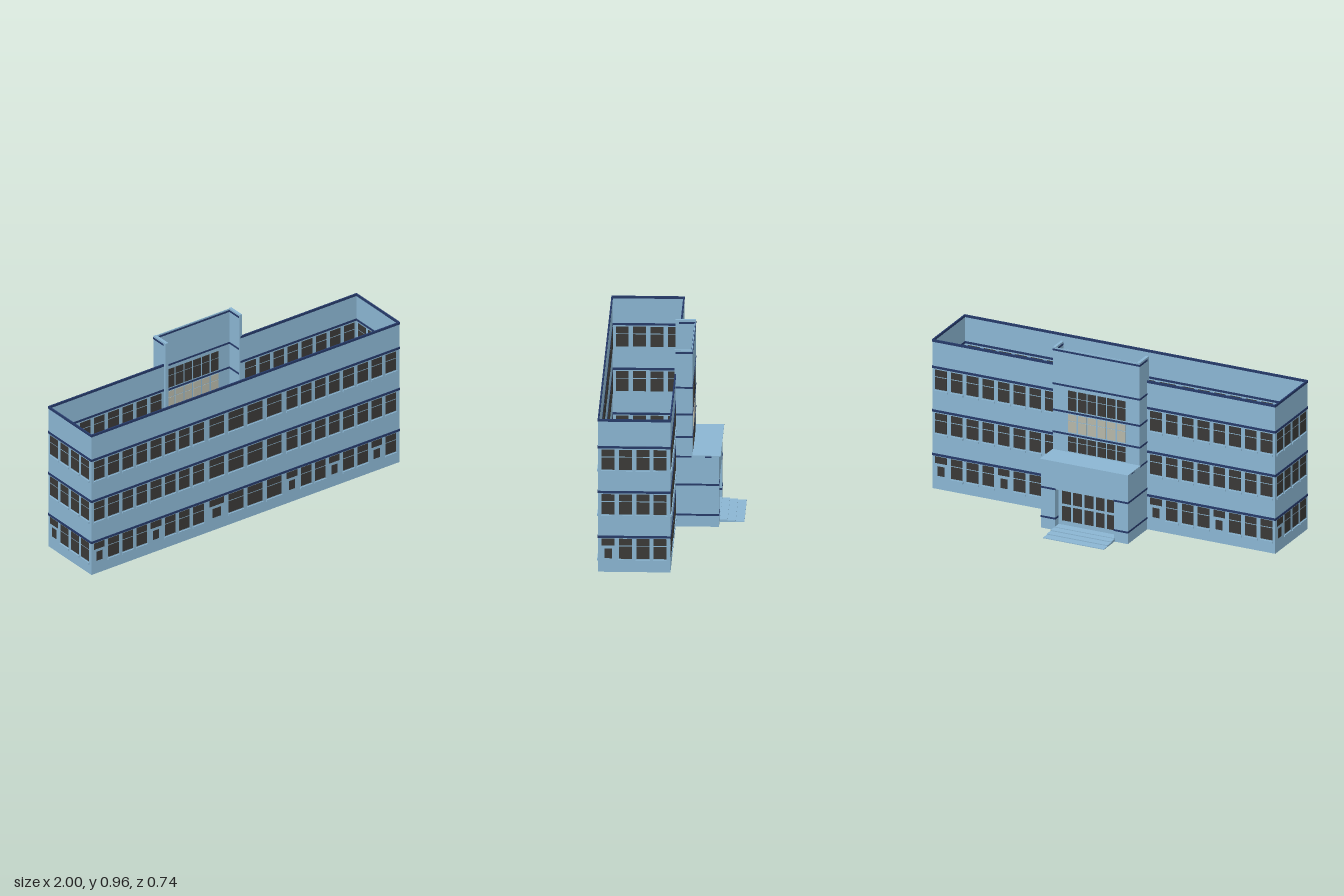
import * as THREE from 'three';

const wallMat = new THREE.MeshStandardMaterial({ color: 0x8ab5d2 });
const bandMat = new THREE.MeshStandardMaterial({ color: 0x253968 });
const glassMat = new THREE.MeshStandardMaterial({ color: 0x393836 });
const paleMat = new THREE.MeshStandardMaterial({ color: 0xb5b6a8 });

// Box given by its lower and upper limits on each axis
function block(parent, name, mat, x0, x1, y0, y1, z0, z1) {
  const mesh = new THREE.Mesh(new THREE.BoxGeometry(x1 - x0, y1 - y0, z1 - z0), mat);
  mesh.position.set((x0 + x1) / 2, (y0 + y1) / 2, (z0 + z1) / 2);
  mesh.name = name;
  parent.add(mesh);
  return mesh;
}

// Facades are drawn in their own x/y plane with the outside at +z
function facade(parent, name, x, z, turn) {
  const group = new THREE.Group();
  group.name = name;
  group.position.set(x, 0, z);
  group.rotation.y = turn;
  parent.add(group);
  return group;
}

const T = 0.004; // wall thickness
const floors = [0.073, 0.316, 0.56]; // window foot of each storey
const bandHeights = [0.192, 0.437, 0.682, 0.829];

// Window with a transom pane, a tall or a small lower pane, and a sill
function windowUnit(parent, x, y, w, small) {
  const z0 = -T - 0.002, z1 = 0.002;
  block(parent, 'transomPane', glassMat, x - w / 2, x + w / 2, y + 0.072, y + 0.109, z0, z1);
  if (small) {
    const s = w * 0.29;
    block(parent, 'smallPane', glassMat, x - s, x + s, y + 0.002, y + 0.055, z0, z1);
    return;
  }
  block(parent, 'lowerPane', glassMat, x - w / 2, x + w / 2, y, y + 0.067, z0, z1);
  block(parent, 'windowSill', wallMat, x - w / 2 - 0.004, x + w / 2 + 0.004, y - 0.017, y - 0.006, 0, 0.006);
}

// Wall sheet from x0 to x1 with bands and three storeys of [centre, width, small] windows
function wall(group, x0, x1, columns) {
  block(group, 'wallSheet', wallMat, x0, x1, 0, 0.835, -T, 0);
  for (const y of bandHeights)
    block(group, 'wallBand', bandMat, x0 - 0.001, x1 + 0.001, y - 0.006, y + 0.0065, -T - 0.001, 0.003);
  floors.forEach((y, level) => {
    for (const [x, w, small] of columns) windowUnit(group, x, y, w, small && level === 0);
  });
}

// Evenly spaced columns; smallOnes lists those with a small ground floor pane
function columns(first, pitch, count, width, smallOnes) {
  return Array.from({ length: count }, (_, i) => [first + pitch * i, width, smallOnes.includes(i)]);
}

export function createModel() {
  const model = new THREE.Group();
  model.name = 'building';
  const L = -0.997, R = 0.99, F = 0.362, B = -0.013;

  // Front wall: narrow, wide, narrow windows
  wall(facade(model, 'frontWall', 0, F, 0), L, R, [
    ...columns(-0.947, 0.0914, 8, 0.067, [0, 4]),
    ...columns(-0.19, 0.1237, 4, 0.094, [0]),
    ...columns(0.296, 0.0911, 8, 0.067, [0, 3, 6]),
  ]);

  // End walls
  const mid = (F + B) / 2, half = (F - B) / 2;
  const ends = columns(-0.136, 0.09, 4, 0.067, [0]);
  wall(facade(model, 'leftEndWall', R, mid, Math.PI / 2), -half, half, ends);
  wall(facade(model, 'rightEndWall', L, mid, -Math.PI / 2), -half, half, ends);

  // Rear wall in two wings beside the stair tower
  const rear = facade(model, 'rearWall', 0, B, Math.PI);
  wall(rear, -R, -0.24, columns(-0.94, 0.0911, 8, 0.067, [0, 4]));
  wall(rear, 0.24, -L, columns(0.307, 0.0914, 8, 0.067, [0, 4]));

  // Stair tower: side piers and glazed rear wall
  const tower = new THREE.Group();
  tower.name = 'stairTower';
  model.add(tower);
  block(tower, 'towerPier', wallMat, -0.255, -0.238, 0, 0.965, -0.1, 0.006);
  block(tower, 'towerPier', wallMat, 0.232, 0.247, 0, 0.965, -0.1, -0.008);
  block(tower, 'towerRearWall', wallMat, -0.24, 0.235, 0.23, 0.962, -0.1, -0.096);
  for (const y of [0.95, 0.76, 0.613, 0.49]) {
    block(tower, 'towerRearBand', bandMat, -0.257, 0.249, y - 0.005, y + 0.005, -0.102, -0.094);
    block(tower, 'towerSideBand', bandMat, -0.257, -0.236, y - 0.005, y + 0.005, -0.1, -0.012);
    block(tower, 'towerSideBand', bandMat, 0.23, 0.249, y - 0.005, y + 0.005, -0.1, -0.012);
  }
  // Stair windows, the middle row pale
  const rows = [[0.395, 0.478, glassMat], [0.502, 0.602, paleMat], [0.625, 0.735, glassMat]];
  for (const [y0, y1, mat] of rows)
    for (let i = 0; i < 6; i++) {
      const x = -0.172 + i * 0.0567;
      const split = y0 + (y1 - y0) * 0.64;
      block(tower, 'stairWindow', mat, x, x + 0.048, y0, split - 0.002, -0.102, -0.094);
      block(tower, 'stairWindow', mat, x, x + 0.048, split + 0.002, y1, -0.102, -0.094);
    }

  // Entrance porch: legs, fascia, roof and recessed doors
  const porch = new THREE.Group();
  porch.name = 'porch';
  model.add(porch);
  for (const [x0, x1, inner0, inner1] of [[-0.255, -0.24, -0.255, -0.175], [0.232, 0.247, 0.167, 0.247]]) {
    block(porch, 'porchSide', wallMat, x0, x1, 0, 0.385, -0.238, -0.1);
    block(porch, 'porchLeg', wallMat, inner0, inner1, 0, 0.235, -0.238, -0.185);
    for (const y of [0.065, 0.23]) {
      block(porch, 'porchSideBand', bandMat, x0 - 0.002, x1 + 0.002, y - 0.005, y + 0.005, -0.24, -0.012);
      block(porch, 'porchLegBand', bandMat, inner0 - 0.002, inner1 + 0.002, y - 0.005, y + 0.005, -0.24, -0.2);
    }
    block(porch, 'porchTopBand', bandMat, x0 - 0.002, x1 + 0.002, 0.378, 0.387, -0.095, -0.012);
    block(porch, 'porchTopBand', bandMat, x0 - 0.002, x1 + 0.002, 0.378, 0.387, -0.2, -0.165);
  }
  block(porch, 'porchFascia', wallMat, -0.255, 0.247, 0.23, 0.385, -0.238, -0.23);
  block(porch, 'porchCeiling', wallMat, -0.24, 0.232, 0.23, 0.235, -0.23, -0.1);
  block(porch, 'porchRoof', wallMat, -0.26, 0.25, 0.385, 0.39, -0.247, -0.1);
  block(porch, 'doorWall', wallMat, -0.176, 0.168, 0.02, 0.23, -0.195, -0.19);
  for (let i = 0; i < 5; i++) {
    const x = -0.165 + i * 0.0655;
    block(porch, 'doorPane', glassMat, x, x + 0.05, 0.045, 0.125, -0.198, -0.187);
    block(porch, 'doorTransom', glassMat, x, x + 0.05, 0.14, 0.21, -0.198, -0.187);
  }

  // Landing and shallow steps
  block(porch, 'landing', wallMat, -0.18, 0.172, 0.004, 0.02, -0.24, -0.01);
  [[-0.28, 0.016], [-0.322, 0.011], [-0.367, 0.006]].forEach(([z, y], i) => {
    block(porch, 'step', wallMat, -0.18, 0.172, 0.002, y, z, -0.24 - i * 0.04);
  });
  return model;
}
